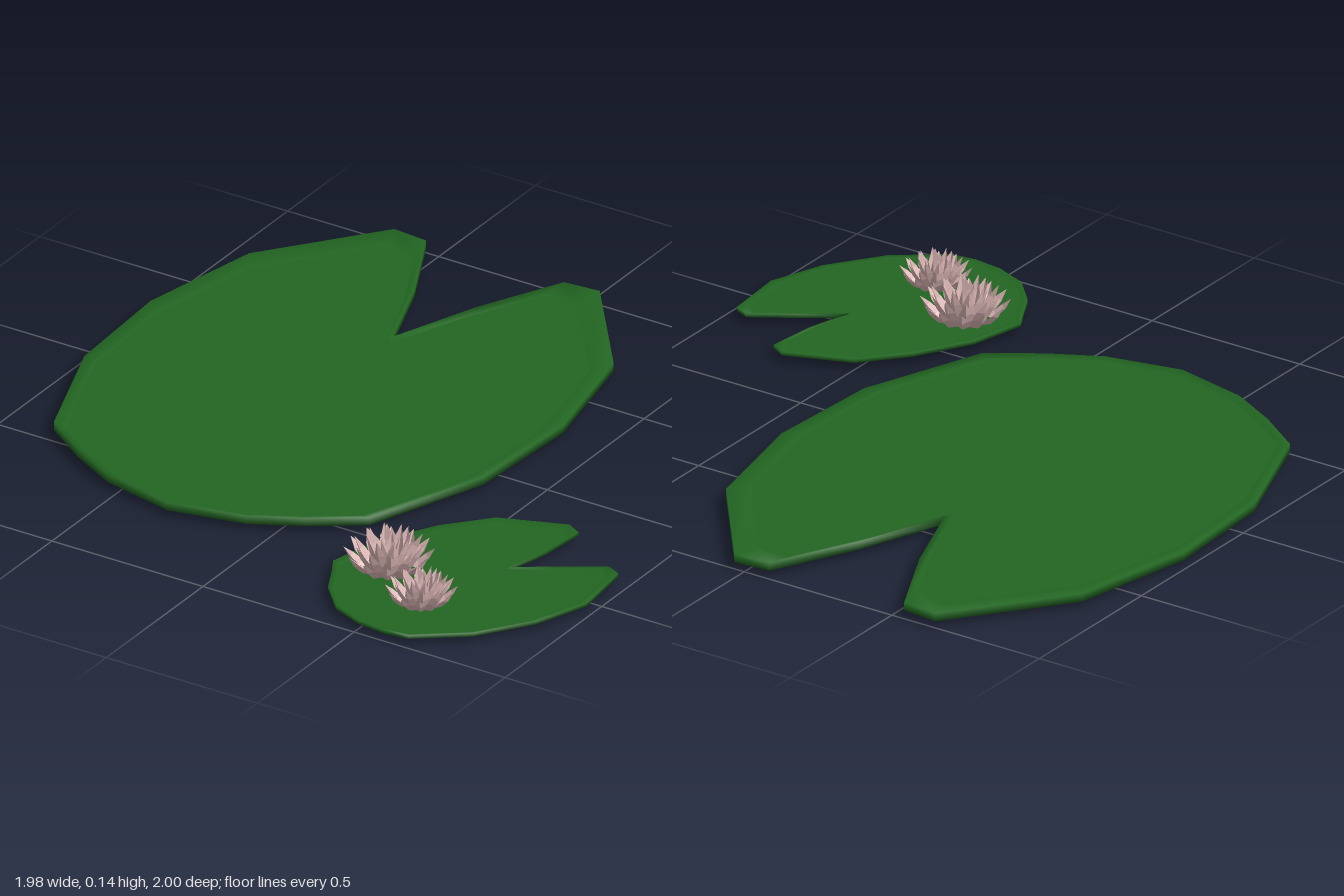
import * as THREE from 'three';

const padGreen = new THREE.MeshStandardMaterial({ color: 0x226622 });
padGreen.name = 'padGreen';
const petalPink = new THREE.MeshStandardMaterial({ color: 0xdcb6b6, flatShading: true, side: THREE.DoubleSide });
petalPink.name = 'petalPink';

// Closed skin through a list of rings with equal point counts
function skin(rings) {
  const n = rings[0].length;
  const index = [];
  for (let r = 0; r < rings.length - 1; r++) {
    for (let i = 0; i < n; i++) {
      const j = (i + 1) % n;
      const a = r * n + i, b = r * n + j, c = a + n, d = b + n;
      index.push(a, b, c, b, d, c);
    }
  }
  const geometry = new THREE.BufferGeometry();
  geometry.setAttribute('position', new THREE.Float32BufferAttribute(rings.flat(2), 3));
  geometry.setIndex(index);
  geometry.computeVertexNormals();
  return geometry;
}

// Notched leaf: flat floor, raised rim, wall and underside
function lilyPad(name, outline, [cx, cz], bottom, floor, top) {
  const ring = (s, y) => outline.map(([x, z]) => [cx + (x - cx) * s, y, cz + (z - cz) * s]);
  const group = new THREE.Group();
  group.name = name;
  const leaf = new THREE.Mesh(skin([ring(0, floor), ring(0.935, floor)]), padGreen);
  leaf.name = 'leafFloor';
  const rim = new THREE.Mesh(
    skin([ring(0.935, floor), ring(1, top), ring(1, bottom), ring(0, bottom)]), padGreen);
  rim.name = 'leafRim';
  group.add(leaf, rim);
  return group;
}

// Pointed, cupped petal rising along a curve to its tip
function petalGeometry(tipR, tipY, width) {
  const spine = new THREE.QuadraticBezierCurve(
    new THREE.Vector2(0.008, 0),
    new THREE.Vector2(tipR * 0.8, tipY * 0.2),
    new THREE.Vector2(tipR, tipY));
  const profile = [0.35, 0.7, 0.98, 0.85, 0];
  const pos = [], index = [];
  profile.forEach((w, k) => {
    const t = k / (profile.length - 1);
    const p = spine.getPoint(t), d = spine.getTangent(t);
    for (const s of [-1, 0, 1]) {
      const cup = Math.abs(s) * w * width * 0.3;
      pos.push(p.x - d.y * cup, p.y + d.x * cup, s * w * width / 2);
    }
    if (k === 0) return;
    for (let s = 0; s < 2; s++) {
      const a = (k - 1) * 3 + s, b = a + 1, c = a + 3, e = a + 4;
      index.push(a, c, b);
      if (k < profile.length - 1) index.push(b, c, e);
    }
  });
  // Close the tip on the side whose last triangle collapses to a point
  const last = (profile.length - 2) * 3;
  index.push(last + 1, last + 4, last + 2);
  const geometry = new THREE.BufferGeometry();
  geometry.setAttribute('position', new THREE.Float32BufferAttribute(pos, 3));
  geometry.setIndex(index);
  geometry.computeVertexNormals();
  return geometry;
}

// Flower of nested petal rings: count, tip radius, tip height, petal width
const layers = [
  [12, 0.128, 0.092, 0.046],
  [10, 0.1, 0.115, 0.044],
  [8, 0.065, 0.138, 0.04],
  [5, 0.03, 0.128, 0.032],
];

function lilyFlower(name, x, y, z, scale) {
  const flower = new THREE.Group();
  flower.name = name;
  layers.forEach(([count, r, h, w], k) => {
    const geometry = petalGeometry(r, h, w);
    for (let i = 0; i < count; i++) {
      const petal = new THREE.Mesh(geometry, petalPink);
      petal.name = 'petal';
      petal.rotation.y = (i + k * 0.5) / count * Math.PI * 2;
      flower.add(petal);
    }
  });
  flower.position.set(x, y, z);
  flower.scale.setScalar(scale);
  return flower;
}

export function createModel() {
  const model = new THREE.Group();
  model.name = 'lilyPads';

  // Large leaf, mirrored about its own axis
  const axis = -0.307;
  const half = [
    [0.1, -0.73], [0.228, -0.99], [0.34, -1], [0.604, -0.66], [0.683, -0.275], [0.662, 0.1],
    [0.523, 0.475], [0.378, 0.575], [0.228, 0.655],
  ];
  const largeOutline = [
    [axis, -0.46],
    ...half.map(([x, z]) => [axis + x, z]),
    [axis, 0.705],
    ...half.slice().reverse().map(([x, z]) => [axis - x, z]),
  ];
  model.add(lilyPad('largePad', largeOutline, [axis, 0.32], 0.02, 0.037, 0.045));

  // Small leaf, turned aside
  const smallOutline = [
    [0.695, 0.19], [0.74, 0.215], [0.725, 0.36], [0.69, 0.495], [0.795, 0.42], [0.92, 0.34],
    [0.965, 0.36], [0.985, 0.555], [0.925, 0.72], [0.815, 0.875], [0.67, 0.985], [0.595, 0.995],
    [0.505, 0.985], [0.405, 0.945], [0.325, 0.86], [0.285, 0.78], [0.255, 0.725], [0.295, 0.555],
    [0.39, 0.39], [0.5, 0.265],
  ];
  model.add(lilyPad('smallPad', smallOutline, [0.6, 0.79], 0.02, 0.028, 0.032));

  // Flowers resting on the small leaf
  model.add(lilyFlower('largeFlower', 0.405, 0, 0.67, 1));
  model.add(lilyFlower('smallFlower', 0.595, 0.012, 0.8, 0.8));
  return model;
}
